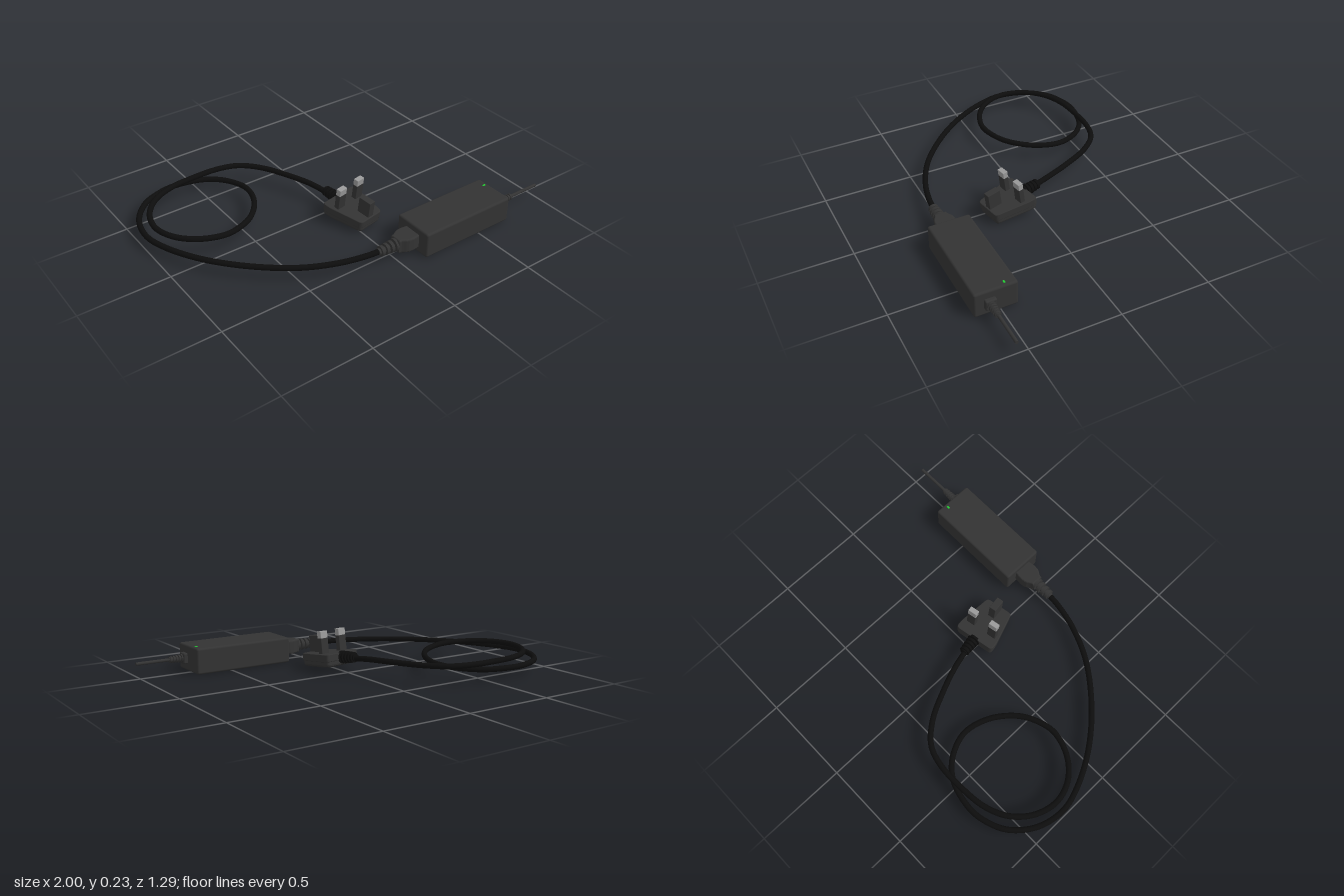
import * as THREE from 'three';
import { RoundedBoxGeometry } from 'three/addons/geometries/RoundedBoxGeometry.js';

const paint = (color) => new THREE.MeshStandardMaterial({ color });
const dark = paint(0x333333), black = paint(0x0d0d0d), metal = paint(0x999999), green = paint(0x22cc33);

function add(parent, name, geometry, material, x = 0, y = 0, z = 0) {
  const mesh = new THREE.Mesh(geometry, material);
  mesh.name = name;
  mesh.position.set(x, y, z);
  parent.add(mesh);
  return mesh;
}

const box = (w, h, d, r) => new RoundedBoxGeometry(w, h, d, 3, r);

// Stepped sleeve of collars along +y, narrowing from r0 to r1, with a core between them
function sleeve(length, r0, r1, core, collars) {
  const points = [new THREE.Vector2(0, 0)];
  const step = length / collars;
  for (let i = 0; i < collars; i++) {
    const r = THREE.MathUtils.lerp(r0, r1, i / (collars - 1)), y = i * step;
    points.push(new THREE.Vector2(r, y), new THREE.Vector2(r, y + step * 0.6));
    points.push(new THREE.Vector2(core, y + step * 0.65), new THREE.Vector2(core, y + step));
  }
  points.push(new THREE.Vector2(0, length));
  // doubled rows keep the collar edges crisp
  const crisp = points.flatMap((p) => [p, p.clone()]);
  return new THREE.LatheGeometry(crisp, 24);
}

// Tapered outline with rounded corners, y runs toward the narrow end
function taperedOutline(back, front, half, r) {
  const corners = [[-back, -half], [back, -half], [back, -half * 0.6], [front, half], [-front, half], [-back, -half * 0.6]]
    .map(([x, y]) => new THREE.Vector2(x, y));
  const shape = new THREE.Shape();
  corners.forEach((c, i) => {
    const prev = corners[(i + 5) % 6], next = corners[(i + 1) % 6];
    const a = c.clone().add(prev.clone().sub(c).setLength(r));
    const b = c.clone().add(next.clone().sub(c).setLength(r));
    if (i === 0) shape.moveTo(a.x, a.y); else shape.lineTo(a.x, a.y);
    shape.quadraticCurveTo(c.x, c.y, b.x, b.y);
  });
  shape.closePath();
  return shape;
}

function slab(shape, depth, bevelThickness, bevelSize) {
  return new THREE.ExtrudeGeometry(shape, {
    depth, bevelThickness, bevelSize, bevelOffset: -bevelSize, bevelSegments: 3, curveSegments: 5,
  }).rotateX(Math.PI / 2);
}

function makeBrick() {
  const g = new THREE.Group();
  g.name = 'powerBrick';
  add(g, 'brickCase', box(0.58, 0.145, 0.235, 0.012), dark, 0.42, 0.104, 0.523);
  add(g, 'statusLight', box(0.018, 0.004, 0.01, 0.0015), green, 0.683, 0.177, 0.47);
  // output lead
  add(g, 'outputBase', box(0.03, 0.06, 0.06, 0.008), dark, 0.718, 0.102, 0.558);
  add(g, 'outputSleeve', sleeve(0.08, 0.023, 0.018, 0.014, 5).rotateZ(-Math.PI / 2), dark, 0.73, 0.102, 0.558);
  add(g, 'outputCable', new THREE.CylinderGeometry(0.009, 0.009, 0.24, 16).rotateZ(Math.PI / 2), dark, 0.88, 0.102, 0.558);
  return g;
}

function makeInletConnector() {
  const g = new THREE.Group();
  g.name = 'inletConnector';
  const outline = new THREE.Shape();
  outline.moveTo(0.14, -0.052);
  outline.lineTo(0.14, 0.052);
  outline.lineTo(0.09, 0.058);
  outline.bezierCurveTo(0.04, 0.058, 0.045, 0.034, 0.015, 0.034);
  outline.lineTo(0.015, -0.034);
  outline.bezierCurveTo(0.045, -0.034, 0.04, -0.058, 0.09, -0.058);
  outline.closePath();
  add(g, 'connectorHead', slab(outline, 0.06, 0.01, 0.008), dark, 0, 0.132, 0.524);
  add(g, 'connectorSleeve', sleeve(0.115, 0.036, 0.028, 0.018, 4).rotateZ(Math.PI / 2), dark, 0.02, 0.102, 0.524);
  return g;
}

function makePlug() {
  const g = new THREE.Group();
  g.name = 'mainsPlug';
  g.position.set(0.037, 0.092, 0.147);
  g.rotation.set(0.13, 0.185, 0, 'YXZ');
  // body in two halves, the lower one chamfered
  add(g, 'plugCover', slab(taperedOutline(0.118, 0.08, 0.125, 0.02), 0.034, 0.004, 0.005), dark, 0, 0.032, 0);
  add(g, 'plugBack', slab(taperedOutline(0.115, 0.077, 0.122, 0.02), 0.02, 0.016, 0.022), dark, 0, -0.002, 0);
  // power pins with bare metal tips
  for (const side of [-1, 1]) {
    add(g, 'pinSleeve', box(0.052, 0.09, 0.03, 0.003), dark, side * 0.068, 0.078, -0.047);
    add(g, 'pinTip', box(0.052, 0.04, 0.03, 0.003), metal, side * 0.068, 0.14, -0.047);
  }
  add(g, 'earthPin', box(0.04, 0.1, 0.078, 0.003), dark, 0, 0.078, 0.078);
  add(g, 'plugSleeve', sleeve(0.105, 0.036, 0.029, 0.02, 5).rotateX(-Math.PI / 2), black, 0, 0.008, -0.115);
  return g;
}

// Looped mains cable, [x, y, z] along its centre line
const cablePath = [
  [-0.06, 0.102, 0.524], [-0.16, 0.102, 0.515], [-0.316, 0.102, 0.476], [-0.5, 0.102, 0.387],
  [-0.7, 0.102, 0.22], [-0.85, 0.101, 0.037], [-0.947, 0.1, -0.15], [-0.98, 0.1, -0.29],
  [-0.947, 0.1, -0.444], [-0.85, 0.1, -0.565], [-0.735, 0.1, -0.618], [-0.636, 0.1, -0.63],
  [-0.476, 0.1, -0.592], [-0.38, 0.102, -0.508], [-0.328, 0.106, -0.374], [-0.364, 0.112, -0.225],
  [-0.465, 0.118, -0.1], [-0.57, 0.123, -0.045], [-0.665, 0.127, -0.03], [-0.797, 0.132, -0.075],
  [-0.89, 0.135, -0.165], [-0.928, 0.136, -0.283], [-0.898, 0.137, -0.41], [-0.813, 0.137, -0.513],
  [-0.69, 0.137, -0.572], [-0.53, 0.137, -0.591], [-0.37, 0.137, -0.586], [-0.262, 0.136, -0.55],
  [-0.166, 0.135, -0.45], [-0.086, 0.133, -0.294], [-0.032, 0.13, -0.155], [0.002, 0.118, -0.03],
];

export function createModel() {
  const model = new THREE.Group();
  model.name = 'powerAdapter';
  model.add(makeBrick(), makeInletConnector(), makePlug());
  const curve = new THREE.CatmullRomCurve3(cablePath.map((p) => new THREE.Vector3(...p)));
  add(model, 'mainsCable', new THREE.TubeGeometry(curve, 240, 0.0155, 14), black);
  return model;
}
